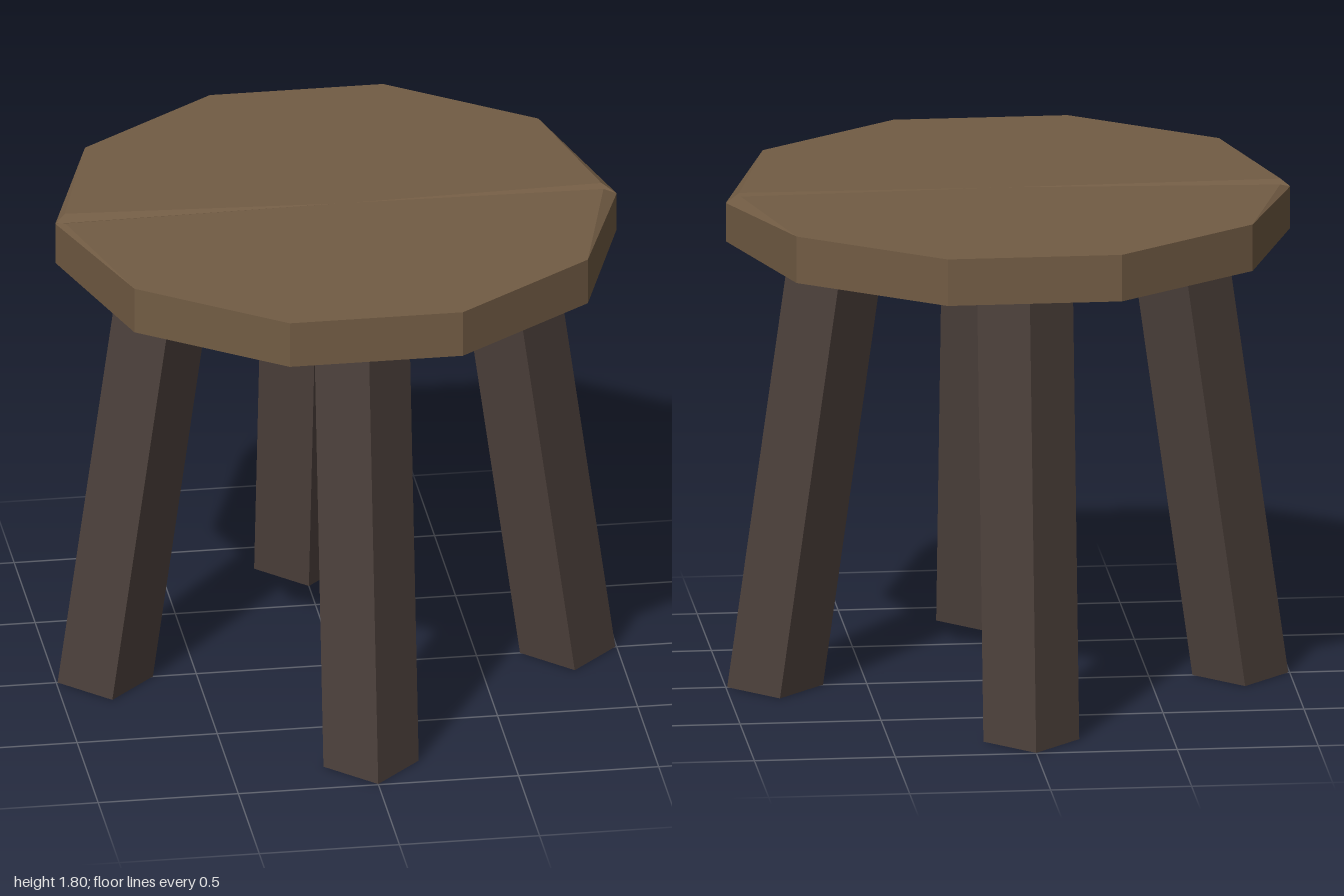
import * as THREE from 'three';

const TOP = 1.8, UNDER = 1.63;

// Flat-shaded geometry from convex polygons, each fanned from its first corner
function fromFaces(faces) {
  const pos = [];
  for (const f of faces)
    for (let i = 1; i < f.length - 1; i++) pos.push(...f[0], ...f[i], ...f[i + 1]);
  const g = new THREE.BufferGeometry();
  g.setAttribute('position', new THREE.Float32BufferAttribute(pos, 3));
  g.computeVertexNormals();
  return g;
}

// Ten-sided slab whose top is split by a shallow crack that widens to both rims
function seatGeometry() {
  const top = (x, z) => [x, TOP, z];
  const arc = (from) => [0, 1, 2, 3].map((i) => {
    const a = (from + i) * Math.PI / 5;
    return top(Math.cos(a), -Math.sin(a));
  });
  const back = arc(1), front = arc(6);
  // Crack: start points near the middle, low points at the rim, lips on each side
  const mid = top(0, 0), midR = top(0.05, 0);
  const lowR = [1, 1.77, 0], lowL = [-1, 1.782, -0.02];
  const backR = top(0.95, -0.03), frontR = top(0.95, 0.02);
  const backL = top(-0.96, -0.06), frontL = top(-0.97, 0.02);

  const faces = [
    [mid, midR, backR, ...back, backL],
    [mid, frontL, ...front, frontR, midR],
    // crack walls
    [midR, lowR, backR], [midR, frontR, lowR],
    [mid, backL, lowL], [mid, lowL, frontL],
    // worn rim beside the crack
    [backR, lowR, back[0]], [frontR, front[3], lowR],
    [backL, back[3], lowL], [frontL, lowL, front[0]],
  ];
  // rim walls and underside
  const rim = [lowR, ...back, lowL, ...front];
  const base = rim.map(([x, , z]) => [x, UNDER, z]);
  rim.forEach((p, i) => {
    const j = (i + 1) % rim.length;
    faces.push([base[i], base[j], rim[j], p]);
  });
  faces.push([...base].reverse());
  return fromFaces(faces);
}

// Square post set corner-outwards, sheared so its foot splays along +x
function legGeometry() {
  const h = UNDER + 0.01;
  const g = new THREE.CylinderGeometry(0.17, 0.17, h, 4).translate(0, h / 2, 0).toNonIndexed();
  const p = g.attributes.position;
  for (let i = 0; i < p.count; i++)
    p.setX(i, p.getX(i) + 0.6 + (UNDER - p.getY(i)) * 0.138);
  g.computeVertexNormals();
  return g;
}

export function createModel() {
  const seatWood = new THREE.MeshStandardMaterial({ color: 0x725c44 });
  seatWood.name = 'seatWood';
  const legWood = new THREE.MeshStandardMaterial({ color: 0x4c403b });
  legWood.name = 'legWood';

  const stool = new THREE.Group();
  stool.name = 'stool';

  const seat = new THREE.Mesh(seatGeometry(), seatWood);
  seat.name = 'seat';
  stool.add(seat);

  // Four splayed legs with cut ends in the seat's wood colour
  const leg = legGeometry();
  ['leftLeg', 'backLeg', 'rightLeg', 'frontLeg'].forEach((name, i) => {
    const m = new THREE.Mesh(leg, [legWood, seatWood, seatWood]);
    m.name = name;
    m.rotation.y = i * Math.PI / 2;
    stool.add(m);
  });
  return stool;
}
